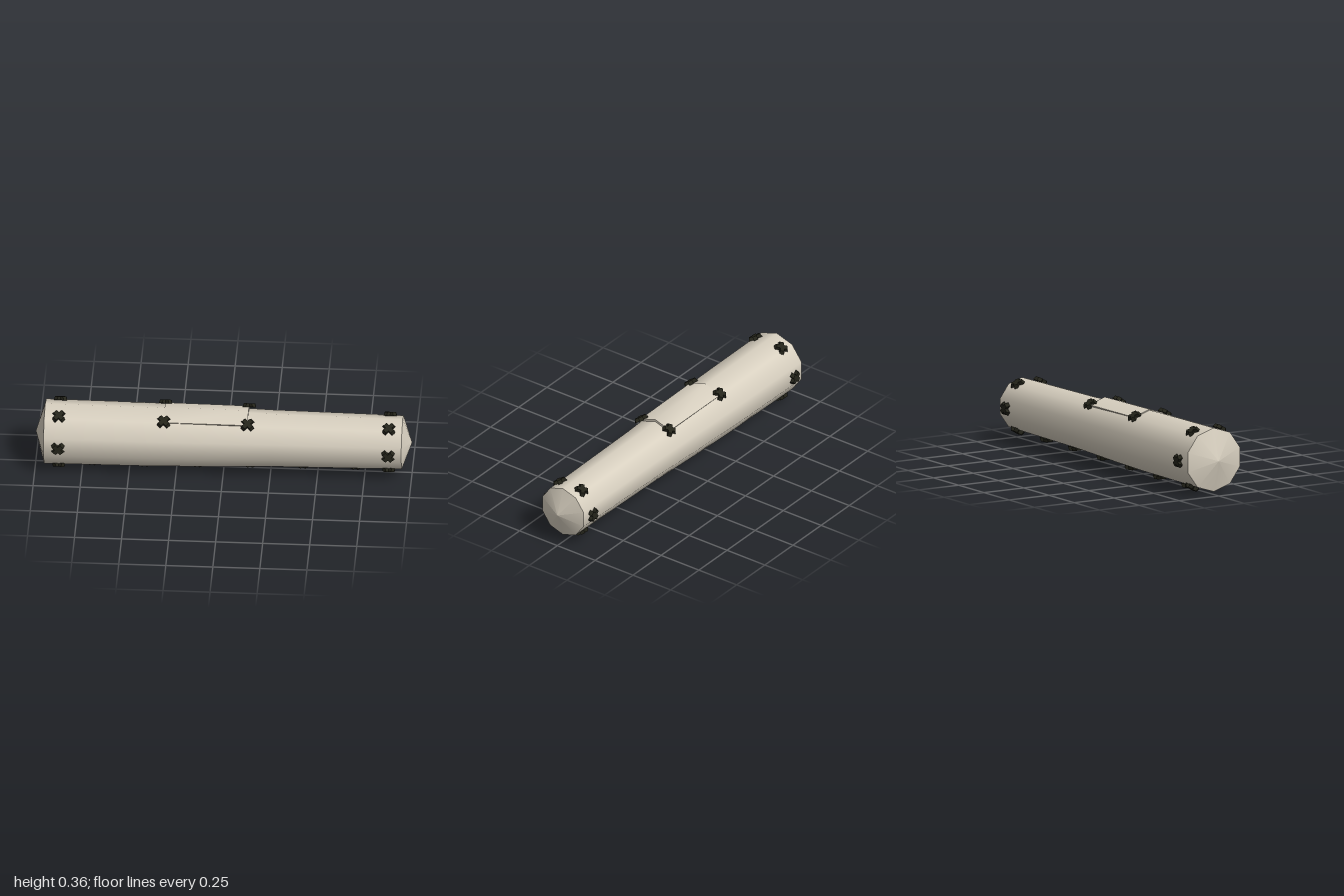
import * as THREE from 'three';
import { toCreasedNormals } from 'three/addons/utils/BufferGeometryUtils.js';

const AXIS_Y = 0.188; // height of the long axis

export function createModel() {
  const model = new THREE.Group();
  const cream = new THREE.MeshStandardMaterial({ color: 0xd8d0c0 });
  cream.name = 'cream cloth';
  const dark = new THREE.MeshStandardMaterial({ color: 0x24241a });
  dark.name = 'dark thread';

  function add(name, geometry, material, parent = model) {
    const mesh = new THREE.Mesh(geometry, material);
    mesh.name = name;
    parent.add(mesh);
    return mesh;
  }

  // Ten-sided surface of revolution along x, from [x, radius] pairs
  function revolve(name, profile) {
    const points = profile.map(([x, r]) => new THREE.Vector2(r, x));
    const geometry = new THREE.LatheGeometry(points, 10, Math.PI / 2);
    geometry.rotateZ(-Math.PI / 2);
    add(name, geometry, cream).position.y = AXIS_Y;
  }

  // Tapered roll and its shallow cone ends
  const profile = [[-0.95, 0.172], [-0.4, 0.169], [-0.1, 0.162], [0.25, 0.151], [0.95, 0.143]];
  revolve('body', profile);
  revolve('wideEnd', [[-1, 0], [-0.95, 0.172]]);
  revolve('narrowEnd', [[0.95, 0.143], [1, 0]]);

  function bodyRadius(x) {
    let i = 1;
    while (i < profile.length - 1 && x > profile[i][0]) i++;
    const [x0, r0] = profile[i - 1], [x1, r1] = profile[i];
    return r0 + (r1 - r0) * (x - x0) / (x1 - x0);
  }

  // Patch folded over the top ridge
  const section = new THREE.Shape([
    [0, 0.172], [-0.101, 0.139], [-0.088, 0.121], [0, 0.145], [0.088, 0.121], [0.101, 0.139],
  ].map(([x, y]) => new THREE.Vector2(x, y)));
  let patch = new THREE.ExtrudeGeometry(section, { depth: 0.445, bevelEnabled: false });
  patch.rotateY(Math.PI / 2);
  patch.translate(-0.315, 0, 0);
  const pos = patch.attributes.position;
  for (let i = 0; i < pos.count; i++) {
    if (pos.getX(i) > 0) {
      pos.setY(i, pos.getY(i) * 0.975);
      pos.setZ(i, pos.getZ(i) * 0.975);
    }
  }
  patch = toCreasedNormals(patch, 0.7);
  add('topPatch', patch, cream).position.y = AXIS_Y;

  // One thread of a cross: a bar with sloping ends
  const bar = new THREE.Shape([
    [-0.038, -0.01], [0.038, -0.01], [0.03, 0.01], [-0.03, 0.01],
  ].map(([x, y]) => new THREE.Vector2(x, y)));
  const threadGeometry = new THREE.ExtrudeGeometry(bar, { depth: 0.024, bevelEnabled: false });
  threadGeometry.translate(0, 0, -0.012);

  // Cross stitch at x, at an angle from straight up towards the front
  function stitch(name, x, degrees, radius) {
    const a = THREE.MathUtils.degToRad(degrees);
    const cross = new THREE.Group();
    cross.name = name;
    cross.position.set(x, AXIS_Y + radius * Math.cos(a), radius * Math.sin(a));
    cross.rotation.x = a;
    for (const s of [-1, 1]) {
      add('thread', threadGeometry, dark, cross).rotation.y = s * Math.PI / 4;
    }
    model.add(cross);
  }

  // Rings of stitches near both ends
  for (const x of [-0.873, 0.88]) {
    for (let i = 0; i < 6; i++) {
      stitch('endStitch', x, 30 + i * 60, bodyRadius(x) + (i % 3 === 1 ? 0.008 : 0.005));
    }
  }

  // Patch corners
  for (const side of [-1, 1]) {
    stitch('patchStitch', -0.315, side * 34, 0.176);
    stitch('patchStitch', 0.13, side * 34, 0.17);
  }

  // Seam along the underside
  for (let i = 0; i < 6; i++) {
    const x = -0.7 + i * 0.28;
    stitch('seamStitch', x, 180, bodyRadius(x) + 0.007);
  }

  return model;
}
